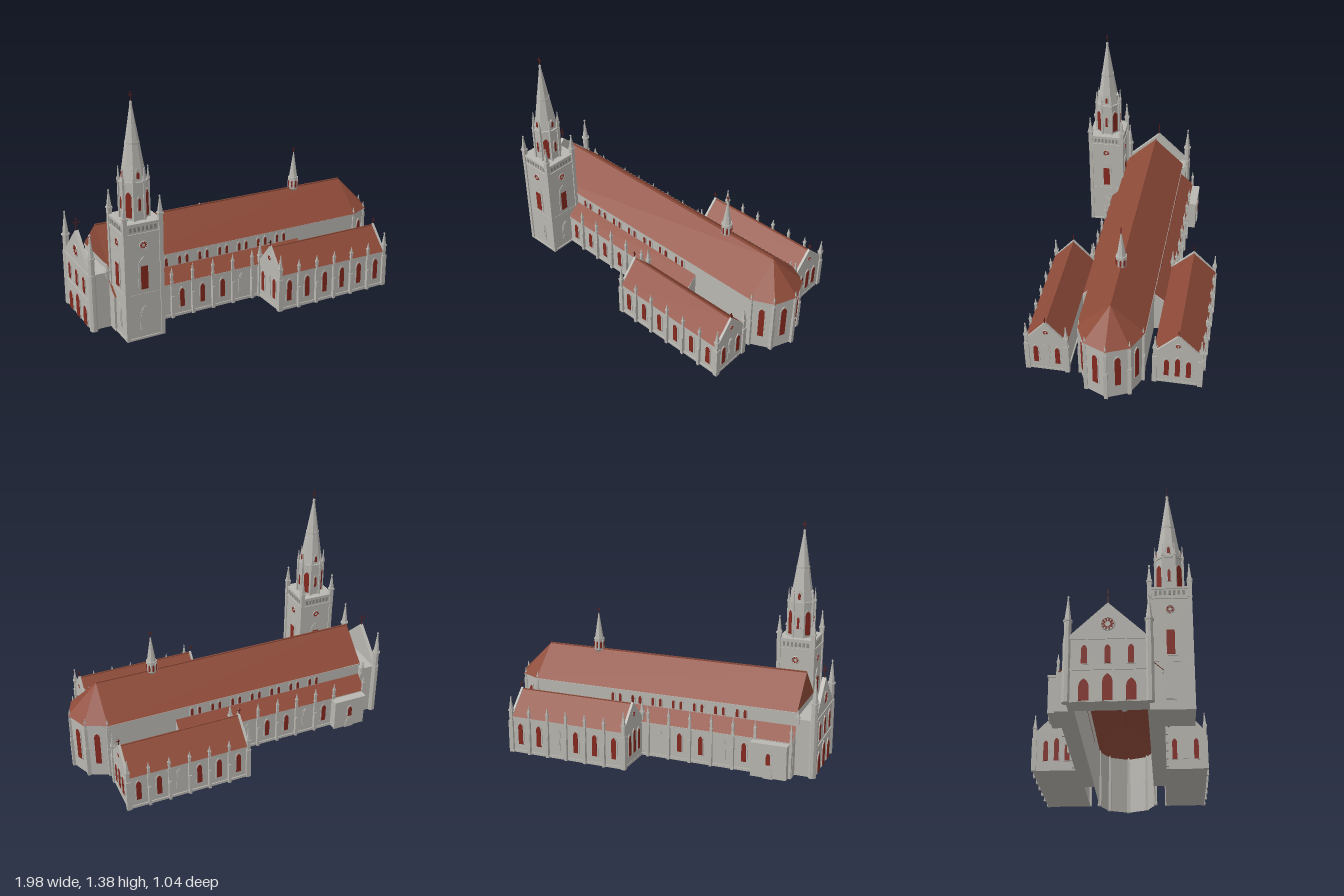
import * as THREE from 'three';

const mat = (name, color) => Object.assign(new THREE.MeshStandardMaterial({ color, side: THREE.DoubleSide, flatShading: true }), { name });

export function createModel() {
  const root = new THREE.Group();
  root.name = 'church';
  const stone = mat('stone', 0xb9b7b1), roof = mat('roofTile', 0x8f4b39);
  const glass = mat('redGlass', 0x85291f), iron = mat('crossRed', 0x5e1f1b), niche = mat('nicheGrey', 0x8b8984);
  let parent = root;

  const section = (name) => { parent = new THREE.Group(); parent.name = name; root.add(parent); };
  const add = (name, geo, m, x = 0, y = 0, z = 0, ry = 0) => {
    const mesh = new THREE.Mesh(geo, m);
    mesh.name = name;
    mesh.position.set(x, y, z);
    mesh.rotation.y = ry;
    parent.add(mesh);
    return mesh;
  };
  const box = (name, m, x0, x1, y0, y1, z0, z1) =>
    add(name, new THREE.BoxGeometry(x1 - x0, y1 - y0, z1 - z0), m, (x0 + x1) / 2, (y0 + y1) / 2, (z0 + z1) / 2);
  // Flat polygons, each a fan of corner points
  const faces = (name, m, polys) => {
    const pos = [];
    for (const p of polys) for (let i = 1; i < p.length - 1; i++) pos.push(...p[0], ...p[i], ...p[i + 1]);
    const g = new THREE.BufferGeometry();
    g.setAttribute('position', new THREE.Float32BufferAttribute(pos, 3));
    g.computeVertexNormals();
    return add(name, g, m);
  };
  // Upright slab with an outline in (z, y), thickness along x
  const slabX = (name, m, x0, x1, pts) => {
    const s = new THREE.Shape(pts.map(([z, y]) => new THREE.Vector2(-z, y)));
    return add(name, new THREE.ExtrudeGeometry(s, { depth: x1 - x0, bevelEnabled: false }), m, x0, 0, 0, Math.PI / 2);
  };
  const cross = (x, y, z, h = 0.045) => {
    box('crossPost', iron, x - 0.002, x + 0.002, y, y + h, z - 0.002, z + 0.002);
    box('crossArm', iron, x - h * 0.25, x + h * 0.25, y + h * 0.6, y + h * 0.6 + 0.004, z - 0.002, z + 0.002);
  };
  const prism = (name, r0, r1, y0, y1, x, z, n = 8, m = stone) =>
    add(name, new THREE.CylinderGeometry(r1, r0, y1 - y0, n), m, x, (y0 + y1) / 2, z, Math.PI / n);
  const pinnacle = (x, z, r, y0, y1, tip, n = 4) => {
    prism('pinnacleShaft', r, r, y0, y1, x, z, n);
    prism('pinnacleCap', r * 1.3, r * 1.3, y1 - 0.006, y1 + 0.004, x, z, n);
    prism('pinnacleSpire', r, 0.001, y1, tip, x, z, n);
    prism('pinnacleKnob', r * 0.35, r * 0.35, tip - 0.014, tip - 0.006, x, z, 4);
  };
  const arch = (w, h) => {
    const s = new THREE.Shape(), k = h - w * 0.9;
    s.moveTo(-w / 2, 0).lineTo(w / 2, 0).lineTo(w / 2, k);
    s.quadraticCurveTo(w / 2, h - w * 0.3, 0, h).quadraticCurveTo(-w / 2, h - w * 0.3, -w / 2, k);
    return new THREE.ExtrudeGeometry(s, { depth: 0.004, bevelEnabled: false, curveSegments: 4 });
  };
  // Pointed window: stone surround with a thin pane on top, facing +z turned by ry
  const win = (x, y, z, ry, w, h, m = glass) => {
    add('windowSurround', arch(w + 0.014, h + 0.014), stone, x, y - 0.004, z, ry);
    const o = 0.002;
    add('windowPane', arch(w, h), m, x + Math.sin(ry) * o, y, z + Math.cos(ry) * o, ry);
  };
  const rose = (x, y, z, ry, r) => {
    const g = new THREE.Group();
    g.name = 'roseWindow';
    g.position.set(x, y, z);
    g.rotation.y = ry;
    g.add(new THREE.Mesh(new THREE.TorusGeometry(r, r * 0.14, 4, 20), stone));
    for (let i = 0; i < 10; i++) {
      const a = i * Math.PI / 5, petal = new THREE.Mesh(new THREE.BoxGeometry(r * 0.45, r * 0.24, 0.005), glass);
      petal.position.set(Math.cos(a) * r * 0.66, Math.sin(a) * r * 0.66, 0.001);
      petal.rotation.z = a;
      g.add(petal);
    }
    parent.add(g);
  };
  // Stepped buttress against a wall at z, projecting to side s
  const buttress = (x, z, s, top, tip) => {
    const slab = (d, y0, y1) => box('buttress', stone, x - 0.008, x + 0.008, y0, y1, Math.min(z, z + s * d), Math.max(z, z + s * d));
    slab(0.02, 0, top * 0.6);
    slab(0.014, top * 0.6, top);
    pinnacle(x, z + s * 0.006, 0.009, top, top + 0.04, tip);
  };

  // Nave: hollow walls with a five-sided apse and one hipped roof
  section('nave');
  const zc = 0.01, X0 = -0.87, X1 = 0.8;
  const ring = (o) => [[X0, -0.18 - o], [X1, -0.18 - o], [0.925 + o, -0.12 - o * 0.6], [0.98 + o, zc], [0.925 + o, 0.14 + o * 0.6], [X1, 0.2 + o], [X0, 0.2 + o]];
  const W = ring(-0.008), E = ring(0.003);
  faces('naveWalls', stone, W.map((a, i) => {
    const b = W[(i + 1) % 7];
    return [[a[0], 0, a[1]], [a[0], 0.37, a[1]], [b[0], 0.37, b[1]], [b[0], 0, b[1]]];
  }));
  const P = E.map(([x, z]) => [x, 0.368, z]), A = [X0, 0.55, zc], B = [X1, 0.55, zc];
  faces('naveRoof', roof, [[A, B, P[1], P[0]], [P[6], P[5], B, A], [P[0], P[6], A],
    ...[1, 2, 3, 4].map((i) => [B, P[i + 1], P[i]])]);
  box('naveRidge', roof, X0, X1, 0.546, 0.554, zc - 0.004, zc + 0.004);
  for (const z of [-0.178, 0.198]) box('naveCornice', stone, X0, X1, 0.355, 0.367, z - 0.007, z + 0.004);
  for (let i = 1; i < 5; i++) {
    const [x0, z0] = W[i], [x1, z1] = W[i + 1], ry = Math.atan2(z1 - z0, -(x1 - x0));
    const nx = z1 - z0, nz = -(x1 - x0);
    win((x0 + x1) / 2, 0.09, (z0 + z1) / 2, Math.atan2(nx, nz), 0.034, 0.215);
  }
  for (let i = 1; i < 6; i++) {
    const [x, z] = W[i];
    prism('apseButtress', 0.016, 0.016, 0, 0.2, x, z, 4);
    prism('apseButtressUpper', 0.012, 0.012, 0.2, 0.34, x, z, 4);
    pinnacle(x, z, 0.009, 0.34, 0.365, 0.41);
  }
  for (let i = 0; i < 7; i++) for (const dx of [-0.024, 0.024]) {
    const x = -0.54 + i * 0.132 + dx;
    win(x, 0.29, 0.192, 0, 0.016, 0.05);
    win(x, 0.29, -0.172, Math.PI, 0.016, 0.05);
  }

  // Side aisles with lean-to roofs
  for (const s of [1, -1]) {
    section(s > 0 ? 'leftAisle' : 'rightAisle');
    const zi = zc + s * 0.18, zo = s > 0 ? 0.265 : -0.25, x1 = 0.38;
    box('aisleWall', stone, X0, x1, 0, 0.205, Math.min(zi, zo), Math.max(zi, zo));
    const e = zo + s * 0.008, q = [[X0, 0.21, e], [x1, 0.21, e], [x1, 0.285, zi], [X0, 0.285, zi]];
    faces('aisleRoof', roof, [q]);
    faces('aisleRoofEnds', stone, [X0, x1].map((x) => [[x, 0.205, zo], [x, 0.285, zi], [x, 0.205, zi]]));
    box('aisleCornice', stone, X0, x1, 0.196, 0.208, zo - 0.006, zo + 0.006);
    box('aislePlinth', stone, X0, x1, 0, 0.016, zo - 0.006, zo + 0.006);
    for (let i = 0; i < 5; i++) {
      const x = -0.585 + i * 0.132;
      win(x, 0.055, zo, s > 0 ? 0 : Math.PI, 0.028, 0.115, i < 4 && !(s < 0 && i === 1) ? glass : stone);
      buttress(x + 0.066, zo, s, 0.23, 0.315);
    }
    if (s < 0) {
      buttress(X0 + 0.01, zo, s, 0.23, 0.315);
      buttress(-0.65, zo, s, 0.23, 0.315);
    }
  }

  // Side porch
  section('sidePorch');
  box('porchBody', stone, -0.85, -0.64, 0, 0.2, -0.305, -0.25);
  box('porchCornice', stone, -0.853, -0.637, 0.192, 0.203, -0.309, -0.25);
  win(-0.745, 0.08, -0.305, Math.PI, 0.026, 0.07);
  win(-0.745, 0.0, -0.305, Math.PI, 0.045, 0.06, stone);

  // Gabled side chapels
  for (const s of [1, -1]) {
    section(s > 0 ? 'leftChapel' : 'rightChapel');
    const [x0, x1] = s > 0 ? [0.065, 0.81] : [0.055, 0.795];
    const zi = s > 0 ? 0.268 : -0.238, zo = s * 0.5, zm = (zi + zo) / 2;
    const za = Math.min(zi, zo), zb = Math.max(zi, zo);
    box('chapelWalls', stone, x0, x1, 0, 0.225, za, zb);
    box('chapelPlinth', stone, x0 - 0.006, x1 + 0.006, 0, 0.016, za - 0.006, zb + 0.006);
    box('chapelCornice', stone, x0, x1, 0.213, 0.226, za - 0.005, zb + 0.005);
    faces('chapelRoof', roof, [za - 0.008, zb + 0.008].map((z) =>
      [[x0, 0.225, z], [x1, 0.225, z], [x1, 0.358, zm], [x0, 0.358, zm]]));
    box('chapelRidge', roof, x0, x1, 0.354, 0.361, zm - 0.003, zm + 0.003);
    for (const [gx, d] of [[x0, -1], [x1, 1]]) {
      const f = gx + d * 0.004, ry = d * Math.PI / 2;
      slabX('chapelGable', stone, gx - (d < 0 ? 0.004 : 0.01), gx + (d < 0 ? 0.01 : 0.004),
        [[za, 0], [zb, 0], [zb, 0.235], [zm, 0.368], [za, 0.235]]);
      cross(gx, 0.365, zm, 0.04);
      rose(f, 0.295, zm, ry, 0.015);
      for (const k of [-1, 0, 1])
        win(f, 0.06, zm + k * 0.063, ry, 0.028, k ? 0.125 : 0.14, s > 0 && !k ? stone : glass);
      for (const z of [za, zb]) {
        box('cornerPier', stone, gx - 0.014, gx + 0.014, 0, 0.2, z - 0.014, z + 0.014);
        pinnacle(gx, z, 0.014, 0.2, 0.265, 0.35);
      }
    }
    const step = (x1 - x0) / 6;
    for (let i = 0; i < 6; i++) {
      win(x0 + step * (i + 0.5), 0.055, zo, s > 0 ? 0 : Math.PI, 0.03, 0.13, s < 0 && i === 3 ? stone : glass);
      if (i) buttress(x0 + step * i, zo, s, 0.225, 0.305);
    }
  }

  // West front with gable and corner pinnacles
  section('westFront');
  box('westBay', stone, -0.972, X0, 0, 0.335, -0.2, 0.2);
  slabX('westGable', stone, -0.985, -0.962, [[-0.2, 0], [0.2, 0], [0.2, 0.345], [0, 0.535], [-0.2, 0.345]]);
  for (const y of [0.165, 0.33]) box('westStringCourse', stone, -0.99, -0.96, y, y + 0.01, -0.2, 0.2);
  cross(-0.975, 0.53, 0, 0.08);
  rose(-0.986, 0.415, 0, -Math.PI / 2, 0.034);
  for (const z of [-0.115, 0, 0.115]) {
    win(-0.985, 0.005, z, -Math.PI / 2, 0.05, z ? 0.115 : 0.14);
    win(-0.985, 0.2, z, -Math.PI / 2, 0.03, 0.1);
  }
  for (const z of [-0.2, 0.205]) {
    prism('westPier', 0.023, 0.023, 0, 0.34, -0.973, z, 8);
    pinnacle(-0.973, z, 0.019, 0.34, 0.44, 0.585, 8);
    pinnacle(-0.88, z, 0.012, 0.3, 0.345, 0.39);
  }

  // Bell tower
  section('bellTower');
  const tx = -0.75, tz = 0.31, h = 0.108;
  box('towerShaft', stone, tx - h, tx + h, 0, 0.675, tz - h, tz + h);
  for (const [y, o] of [[0, 0.006], [0.26, 0.002], [0.615, 0.005], [0.672, 0.005]])
    box('towerBand', stone, tx - h - o, tx + h + o, y, y + 0.012, tz - h - o, tz + h + o);
  for (let f = 0; f < 4; f++) {
    const a = f * Math.PI / 2, sx = Math.sin(a), sz = Math.cos(a);
    const at = (d, u) => [tx + sx * d + sz * u, tz + sz * d - sx * u];
    const [x, z] = at(h, 0);
    win(x, 0.06, z, a, 0.05, 0.13, stone);
    add('towerWindowHood', arch(0.07, 0.2), stone, x, 0.29, z, a);
    add('towerWindow', new THREE.BoxGeometry(0.042, 0.135, 0.012), glass, x, 0.367, z, a);
    rose(x, 0.555, z, a, 0.022);
    for (let i = -3; i <= 3; i++) {
      const [nx, nz] = at(h, i * 0.024);
      add('parapetNiche', new THREE.BoxGeometry(0.013, 0.026, 0.004), niche, nx, 0.651, nz, a);
    }
    const [px, pz] = at(h - 0.004, h - 0.004);
    box('towerCornerPier', stone, px - 0.011, px + 0.011, 0, 0.62, pz - 0.011, pz + 0.011);
    pinnacle(px, pz, 0.017, 0.62, 0.72, 0.825);
  }
  // Octagonal belfry and spire
  prism('belfry', 0.077, 0.077, 0.68, 0.89, tx, tz);
  prism('belfryCornice', 0.083, 0.083, 0.885, 0.898, tx, tz);
  prism('spire', 0.072, 0.003, 0.895, 1.325, tx, tz);
  prism('spireRing', 0.041, 0.041, 1.095, 1.106, tx, tz);
  prism('spireKnob', 0.008, 0.008, 1.305, 1.318, tx, tz);
  cross(tx, 1.32, tz, 0.053);
  for (let i = 0; i < 8; i++) {
    const a = i * Math.PI / 4, c = a + Math.PI / 8, d = 0.0712;
    const x = tx + Math.sin(a) * d, z = tz + Math.cos(a) * d;
    if (i % 2) win(x, 0.7, z, a, 0.034, 0.145);
    else {
      win(x, 0.74, z, a, 0.014, 0.07);
      const b = 0.058;
      add('spireDormer', arch(0.034, 0.075), stone, tx + Math.sin(a) * b, 0.895, tz + Math.cos(a) * b, a);
      win(tx + Math.sin(a) * (b + 0.003), 0.915, tz + Math.cos(a) * (b + 0.003), a, 0.015, 0.038);
    }
    pinnacle(tx + Math.sin(c) * 0.079, tz + Math.cos(c) * 0.079, 0.009, 0.68, 0.9, 0.975);
  }

  // Small ridge turret
  section('ridgeTurret');
  const fx = 0.455;
  prism('turretFoot', 0.012, 0.029, 0.522, 0.545, fx, zc);
  prism('turretBody', 0.029, 0.029, 0.545, 0.61, fx, zc);
  prism('turretCornice', 0.033, 0.033, 0.608, 0.618, fx, zc);
  prism('turretSpire', 0.027, 0.002, 0.615, 0.78, fx, zc);
  cross(fx, 0.775, zc, 0.04);
  for (let i = 0; i < 8; i++) {
    const a = i * Math.PI / 4;
    win(fx + Math.sin(a) * 0.0265, 0.555, zc + Math.cos(a) * 0.0265, a, 0.011, 0.045);
  }
  return root;
}
